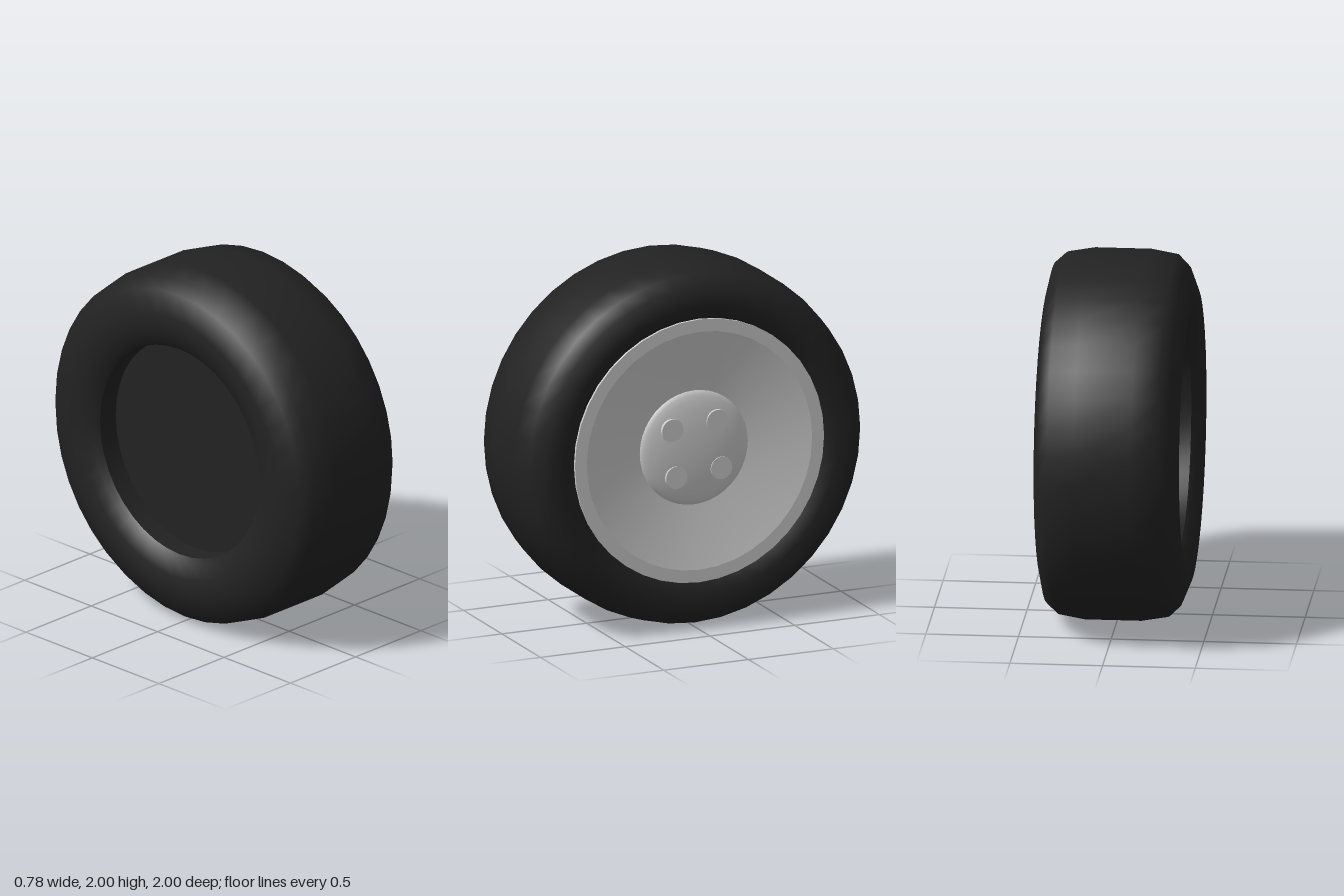
import * as THREE from 'three';
import { toCreasedNormals } from 'three/addons/utils/BufferGeometryUtils.js';

const SIDES = 40;

export function createModel() {
  const model = new THREE.Group();
  model.name = 'wheel';

  const rubber = new THREE.MeshStandardMaterial({ color: 0x222222 });
  const metal = new THREE.MeshStandardMaterial({ color: 0xcccccc });

  // Everything is turned about local y, then laid over so the axle runs along x
  const axle = new THREE.Group();
  axle.name = 'axle';
  axle.rotation.z = -Math.PI / 2;
  axle.position.y = 1;
  model.add(axle);

  // Profile points are [radius, position along the axle]
  function turned(name, profile, material, crease) {
    const points = profile.map(([r, a]) => new THREE.Vector2(r, a));
    const geometry = toCreasedNormals(new THREE.LatheGeometry(points, SIDES), crease);
    const mesh = new THREE.Mesh(geometry, material);
    mesh.name = name;
    axle.add(mesh);
  }

  // Tyre, with the recessed back closed by a flat disc
  turned('tyre', [
    [0, -0.21], [0.6, -0.21], [0.6, -0.33], [0.63, -0.36], [0.71, -0.385],
    [0.8, -0.393], [0.92, -0.345], [0.975, -0.29], [1, -0.145],
    [1, 0.16], [0.975, 0.305], [0.92, 0.365], [0.81, 0.39],
    [0.735, 0.35], [0.7, 0.32],
  ], rubber, 0.75);

  // Rim: thin flange, flat ring and shallow dish
  turned('rim', [
    [0.735, 0.33], [0.735, 0.365], [0.665, 0.365], [0.32, 0.29], [0, 0.27],
  ], metal, 0.18);

  // Domed hub cap
  const dome = [];
  for (let i = 0; i <= 8; i++) {
    const t = (i / 8) * Math.PI / 2;
    dome.push([Math.max(0, 0.322 * Math.cos(t)), 0.285 + 0.05 * Math.sin(t)]);
  }
  turned('hubCap', dome, metal, 0.6);

  // Four wheel bolts
  const boltGeometry = toCreasedNormals(new THREE.CylinderGeometry(0.063, 0.063, 0.05, 20), 0.6);
  for (let i = 0; i < 4; i++) {
    const angle = THREE.MathUtils.degToRad(40 + i * 90);
    const bolt = new THREE.Mesh(boltGeometry, metal);
    bolt.name = 'bolt' + (i + 1);
    bolt.position.set(-0.188 * Math.sin(angle), 0.311, 0.188 * Math.cos(angle));
    axle.add(bolt);
  }

  return model;
}
